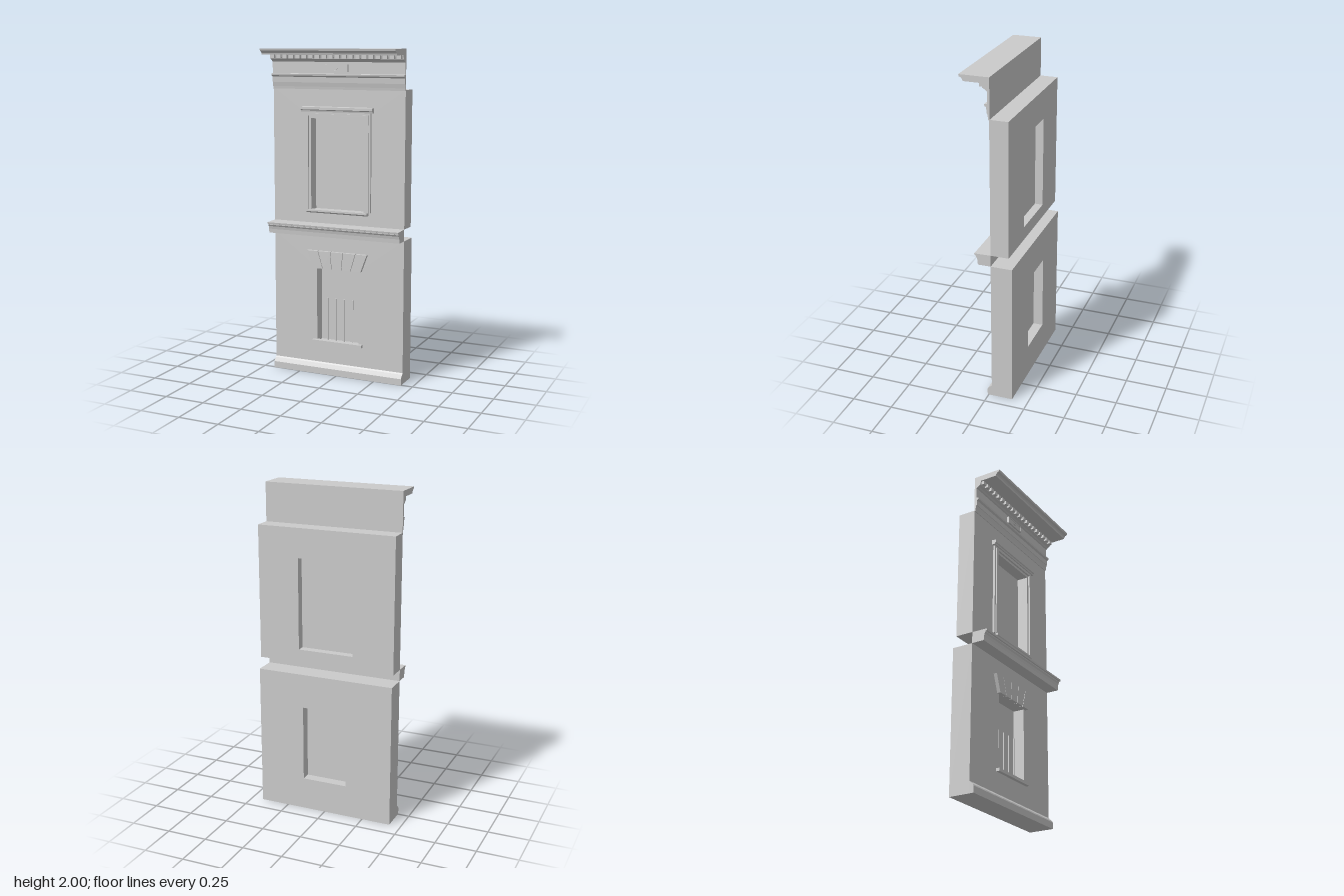
import * as THREE from 'three';

const W = 0.857; // facade width
const FACE = -0.02; // plane of the wall face
const grey = new THREE.MeshStandardMaterial({ color: 0xcccccc });
const thin = new THREE.MeshStandardMaterial({ color: 0xcccccc, side: THREE.DoubleSide });

function add(parent, name, geometry, material = grey) {
  const mesh = new THREE.Mesh(geometry, material);
  mesh.name = name;
  parent.add(mesh);
  return mesh;
}

// Box given by its limits on each axis
function box(x0, x1, y0, y1, z0, z1) {
  return new THREE.BoxGeometry(x1 - x0, y1 - y0, z1 - z0)
    .translate((x0 + x1) / 2, (y0 + y1) / 2, (z0 + z1) / 2);
}

function polygon(points) {
  return new THREE.Shape(points.map(([x, y]) => new THREE.Vector2(x, y)));
}

function rect(x0, x1, y0, y1) {
  return polygon([[x0, y0], [x1, y0], [x1, y1], [x0, y1]]);
}

// Flat outline in x, y given thickness from z0 to z1
function plate(shape, z0, z1) {
  return new THREE.ExtrudeGeometry(shape, { depth: z1 - z0, bevelEnabled: false }).translate(0, 0, z0);
}

// Rectangle with a rectangular opening
function frame(outer, inner, z0, z1) {
  const shape = rect(...outer);
  shape.holes.push(rect(...inner));
  return plate(shape, z0, z1);
}

// Moulding: [z, y] section run along x
function moulding(section, length) {
  return new THREE.ExtrudeGeometry(polygon(section), { depth: length, bevelEnabled: false })
    .rotateY(-Math.PI / 2)
    .translate(length / 2, 0, 0);
}

function pane(x, y0, y1, z) {
  return new THREE.PlaneGeometry(2 * x, y1 - y0).translate(0, (y0 + y1) / 2, z);
}

function lowerStorey() {
  const g = new THREE.Group();
  g.name = 'lowerStorey';
  const h = W / 2;
  add(g, 'lowerWall', frame([-h, h, 0, 0.88], [-0.14, 0.14, 0.2, 0.67], -0.15, FACE));
  add(g, 'plinth', moulding([[FACE, 0], [0.007, 0], [0.007, 0.04], [0.002, 0.05], [-0.013, 0.062], [FACE, 0.07]], W));
  add(g, 'lowerPane', pane(0.14, 0.2, 0.67, -0.09), thin);
  add(g, 'lowerSill', box(-0.165, 0.165, 0.196, 0.214, -0.03, 0.002));

  // Window bars
  for (let i = 0; i < 4; i++) {
    const x = (i - 1.5) * 0.056;
    add(g, 'windowBar', box(x - 0.003, x + 0.003, 0.2, 0.475, -0.058, -0.052));
  }

  // Fan of wedge stones over the window
  const top = [-0.2, -0.124, -0.041, 0.041, 0.124, 0.2];
  const bottom = [-0.16, -0.092, -0.033, 0.033, 0.092, 0.16];
  const gap = 0.0015;
  for (let i = 0; i < 5; i++) {
    const stone = polygon([
      [bottom[i] + gap, 0.67], [bottom[i + 1] - gap, 0.67],
      [top[i + 1] - gap, 0.778], [top[i] + gap, 0.778],
    ]);
    add(g, 'lintelStone', plate(stone, FACE, 0.002));
  }
  return g;
}

function upperStorey() {
  const g = new THREE.Group();
  g.name = 'upperStorey';
  const h = W / 2;
  add(g, 'upperWall', frame([-h, h, 0.95, 1.765], [-0.173, 0.173, 1.03, 1.587], -0.13, FACE));
  add(g, 'upperPane', pane(0.173, 1.03, 1.587, -0.08), thin);

  // Stepped casing, open at the bottom where it meets the sill
  const steps = [[0.217, 1.627, 0.205, 1.615, -0.006], [0.205, 1.615, 0.187, 1.602, 0.001], [0.187, 1.602, 0.173, 1.587, -0.01]];
  for (const [xo, yo, xi, yi, z] of steps) {
    const arch = polygon([
      [-xo, 1.034], [-xi, 1.034], [-xi, yi], [xi, yi],
      [xi, 1.034], [xo, 1.034], [xo, yo], [-xo, yo],
    ]);
    add(g, 'windowCasing', plate(arch, FACE, z));
  }
  add(g, 'windowHead', moulding([
    [FACE, 1.627], [0.001, 1.627], [0.003, 1.635], [0.009, 1.64], [0.009, 1.655], [FACE, 1.658],
  ], 0.465));
  add(g, 'upperSill', moulding([
    [-0.03, 1.015], [0, 1.015], [0.007, 1.023], [0.007, 1.034], [-0.03, 1.034],
  ], 0.4));
  return g;
}

function entablature() {
  const g = new THREE.Group();
  g.name = 'entablature';
  add(g, 'friezeAndCornice', moulding([
    [-0.023, 1.76], [-0.016, 1.76], [-0.014, 1.775], [-0.009, 1.8], [-0.006, 1.8], [-0.004, 1.832],
    [0.006, 1.84], [0.008, 1.85], [-0.01, 1.853], [-0.01, 1.922], [-0.003, 1.925], [0.004, 1.932],
    [0.018, 1.94], [0.022, 1.964], [0.128, 1.964], [0.131, 1.974], [0.138, 1.982], [0.15, 1.988],
    [0.153, 2], [-0.023, 2],
  ], W));

  // Row of dentils beneath the cornice
  const count = 20;
  for (let i = 0; i < count; i++) {
    const x = (i - (count - 1) / 2) * (W / count);
    add(g, 'dentil', box(x - 0.013, x + 0.013, 1.942, 1.965, 0.01, 0.038));
  }

  // Small framed plaque on the frieze
  add(g, 'plaque', box(-0.074, 0.074, 1.864, 1.908, -0.012, 0.002));
  add(g, 'plaqueBorder', frame([-0.074, 0.074, 1.864, 1.908], [-0.066, 0.066, 1.871, 1.901], 0, 0.006));
  const boss = polygon([[-0.016, 1.886], [0, 1.878], [0.016, 1.886], [0, 1.894]]);
  add(g, 'plaqueBoss', plate(boss, 0, 0.007));
  return g;
}

export function createModel() {
  const model = new THREE.Group();
  model.name = 'facade';
  model.add(lowerStorey(), upperStorey(), entablature());

  // String course between the storeys
  add(model, 'stringCourse', moulding([
    [FACE, 0.88], [0.058, 0.88], [0.06, 0.905], [0.064, 0.922], [0.07, 0.931],
    [0.07, 0.936], [0.078, 0.938], [0.08, 0.948], [FACE, 0.95],
  ], W));
  return model;
}
